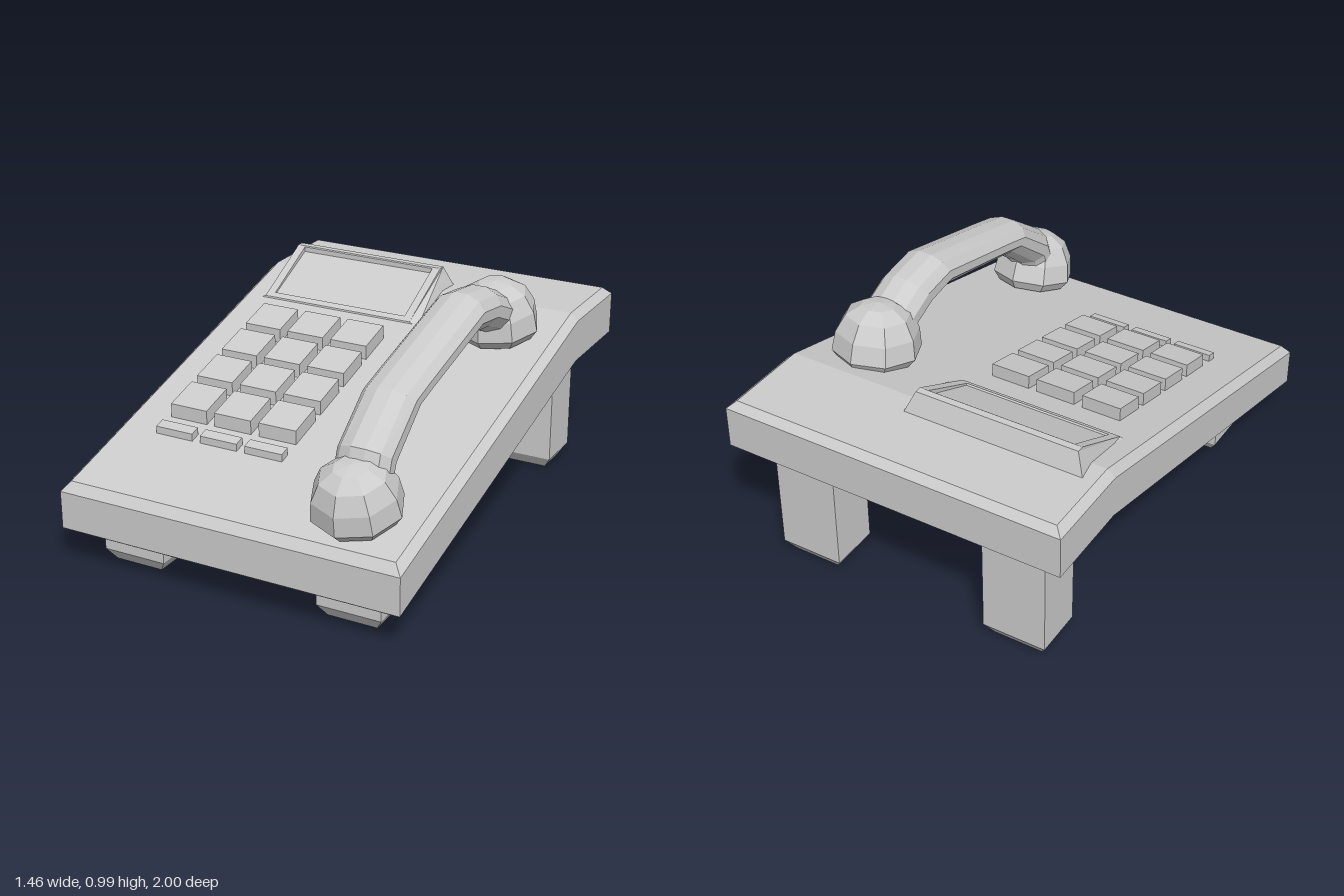
import * as THREE from 'three';

const SLOPE = 0.263;
const deckY = (z) => 0.35 + SLOPE * (0.97 - Math.max(z, -0.61));

const material = new THREE.MeshStandardMaterial({
  color: 0xcccccc, flatShading: true, side: THREE.DoubleSide,
});

function add(parent, name, geometry) {
  const mesh = new THREE.Mesh(geometry, material);
  mesh.name = name;
  parent.add(mesh);
  return mesh;
}

// Skin a stack of equal-length closed rings of [x, y, z], capped at both ends
function loft(rings) {
  const pos = [];
  const tri = (a, b, c) => pos.push(...a, ...b, ...c);
  const n = rings[0].length;
  for (let i = 0; i < rings.length - 1; i++) {
    for (let j = 0; j < n; j++) {
      const k = (j + 1) % n, lo = rings[i], hi = rings[i + 1];
      tri(lo[j], lo[k], hi[k]);
      tri(lo[j], hi[k], hi[j]);
    }
  }
  const first = rings[0], last = rings[rings.length - 1];
  for (let j = 1; j < n - 1; j++) {
    tri(first[0], first[j + 1], first[j]);
    tri(last[0], last[j], last[j + 1]);
  }
  const geometry = new THREE.BufferGeometry();
  geometry.setAttribute('position', new THREE.Float32BufferAttribute(pos, 3));
  geometry.computeVertexNormals();
  return geometry;
}

// Four-cornered ring whose front and back edges have their own heights
const quadRing = (x0, x1, zFront, yFront, zBack, yBack) => [
  [x0, yFront, zFront], [x1, yFront, zFront], [x1, yBack, zBack], [x0, yBack, zBack],
];

// Sloping slab with a level back shelf and chamfered rims
function bodyGeometry() {
  const ring = (x, zFront, yFront, yBack, zBack) => [
    [x, yBack, -0.61], [x, yBack, zBack], [-x, yBack, zBack],
    [-x, yBack, -0.61], [-x, yFront, zFront], [x, yFront, zFront],
  ];
  return loft([
    ring(0.68, 0.94, 0.115, 0.51, -0.94),
    ring(0.73, 1, 0.155, 0.56, -1),
    ring(0.73, 1, 0.31, 0.735, -1),
    ring(0.697, 0.97, 0.35, 0.765, -0.97),
  ]);
}

// Leg with a chamfered foot
function legGeometry(x, zFront, zBack, top) {
  const c = 0.032, w = 0.135;
  return loft([
    quadRing(x - w + c, x + w - c, zFront - c, 0, zBack + c, 0),
    quadRing(x - w, x + w, zFront, 0.05, zBack, 0.05),
    quadRing(x - w, x + w, zFront, top, zBack, top + SLOPE * 0.2),
  ]);
}

// Key: a box sheared to follow the slope
function keyGeometry(width, depth, height, z) {
  const geometry = new THREE.BoxGeometry(width, height + 0.02, depth);
  geometry.translate(0, height / 2 - 0.01, 0);
  const p = geometry.attributes.position;
  for (let i = 0; i < p.count; i++) p.setY(i, p.getY(i) + deckY(z + p.getZ(i)));
  geometry.computeVertexNormals();
  return geometry;
}

// Handle: oval rings given by their upper and lower [z, y] points
function handleGeometry() {
  const sections = [
    [0.86, 0.52, 0.72, 0.46], [0.81, 0.675, 0.67, 0.565], [0.605, 0.825, 0.485, 0.72],
    [0.46, 0.865, 0.41, 0.74], [-0.035, 0.995, 0.005, 0.834], [-0.21, 0.972, -0.12, 0.815],
    [-0.335, 0.915, -0.225, 0.77], [-0.41, 0.83, -0.28, 0.73],
  ];
  const sides = 12;
  return loft(sections.map(([z1, y1, z0, y0]) =>
    Array.from({ length: sides }, (_, i) => {
      const a = ((i + 0.5) / sides) * Math.PI * 2;
      const s = -Math.sin(a) / 2;
      return [0.46 + 0.115 * Math.cos(a), (y1 + y0) / 2 + s * (y1 - y0), (z1 + z0) / 2 + s * (z1 - z0)];
    })));
}

export function createModel() {
  const phone = new THREE.Group();
  phone.name = 'deskPhone';

  add(phone, 'body', bodyGeometry());

  // Short front legs and tall back legs
  for (const [side, x] of [['left', 0.47], ['right', -0.47]]) {
    add(phone, `${side}FrontLeg`, legGeometry(x, 0.9, 0.55, 0.19));
    add(phone, `${side}BackLeg`, legGeometry(x, -0.68, -0.89, 0.53));
  }

  // Wedge housing with a recessed display
  add(phone, 'displayHousing', loft([
    quadRing(-0.65, 0.125, -0.345, 0.685, -0.705, 0.755),
    quadRing(-0.61, 0.085, -0.35, 0.703, -0.67, 0.85),
    quadRing(-0.61, 0.085, -0.35, 0.703, -0.64, 0.85),
    quadRing(-0.575, 0.05, -0.375, 0.715, -0.635, 0.846),
    quadRing(-0.575, 0.05, -0.38, 0.709, -0.635, 0.825),
  ]));

  // Twelve keys and a row of slim buttons
  const keypad = new THREE.Group();
  keypad.name = 'keypad';
  phone.add(keypad);
  for (const x of [-0.457, -0.255, -0.053]) {
    for (const z of [-0.145, 0.047, 0.237, 0.43]) {
      add(keypad, 'key', keyGeometry(0.166, 0.152, 0.057, z)).position.set(x, 0, z);
    }
    add(keypad, 'slimButton', keyGeometry(0.166, 0.044, 0.03, 0.592)).position.set(x, 0, 0.592);
  }

  // Handset: curved grip with a domed cup at each end
  const handset = new THREE.Group();
  handset.name = 'handset';
  phone.add(handset);
  add(handset, 'handle', handleGeometry());
  const profile = [[0, 0], [0.15, 0], [0.18, 0.04], [0.168, 0.12], [0.13, 0.19], [0.07, 0.228], [0, 0.238]]
    .map(([r, y]) => new THREE.Vector2(r, y));
  for (const [name, y, z, tilt] of [['mouthpiece', 0.4, 0.8, 0.257], ['earpiece', 0.708, -0.395, 0.14]]) {
    const cup = add(handset, name, new THREE.LatheGeometry(profile, 8));
    cup.position.set(0.46, y, z);
    cup.rotation.x = tilt;
  }

  return phone;
}
